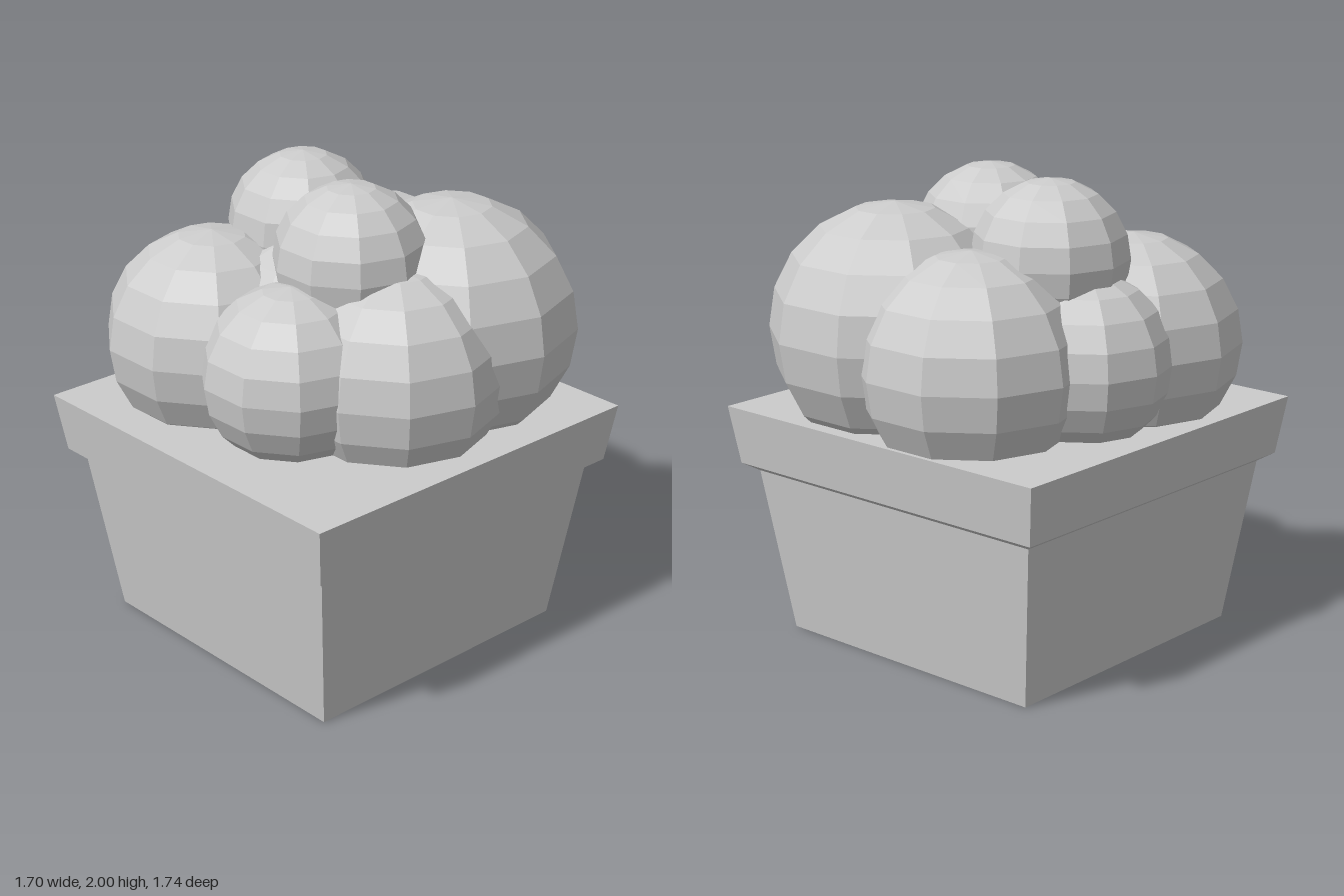
import * as THREE from 'three';

const material = new THREE.MeshStandardMaterial({ color: 0xcccccc, flatShading: true });

// Leaf balls: [name, x, y, z, radius]
const balls = [
  ['frontRightLeafBall', -0.39, 1.27, 0.35, 0.46],
  ['frontLeftLeafBall', 0.145, 1.27, 0.39, 0.375],
  ['leftLeafBall', 0.36, 1.24, 0.025, 0.46],
  ['backLeftLeafBall', 0.29, 1.34, -0.36, 0.535],
  ['backRightLeafBall', -0.185, 1.27, -0.42, 0.475],
  ['rightLeafBall', -0.46, 1.27, -0.05, 0.37],
  ['middleLeafBall', -0.1, 1.27, 0.07, 0.45],
  ['topRightLeafBall', -0.295, 1.675, -0.07, 0.325],
  ['topLeftLeafBall', 0.15, 1.675, 0.07, 0.325],
];

// Square tapering pot: [half width, height] from the base up to the closed top
function createPot() {
  const profile = [[0, 0], [0.655, 0], [0.75, 0.71], [0.805, 0.745], [0.84, 0.995], [0, 0.995]]
    .map(([half, y]) => new THREE.Vector2(half * Math.SQRT2, y));
  const pot = new THREE.Mesh(new THREE.LatheGeometry(profile, 4, Math.PI / 4), material);
  pot.name = 'pot';
  pot.position.set(0.01, 0, 0.033);
  return pot;
}

export function createModel() {
  const model = new THREE.Group();
  model.name = 'pottedBush';
  model.add(createPot());

  // Bush of overlapping faceted balls
  const bush = new THREE.Group();
  bush.name = 'bush';
  for (const [name, x, y, z, radius] of balls) {
    const ball = new THREE.Mesh(new THREE.SphereGeometry(radius, 10, 10), material);
    ball.name = name;
    ball.position.set(x, y, z);
    bush.add(ball);
  }
  model.add(bush);
  return model;
}
